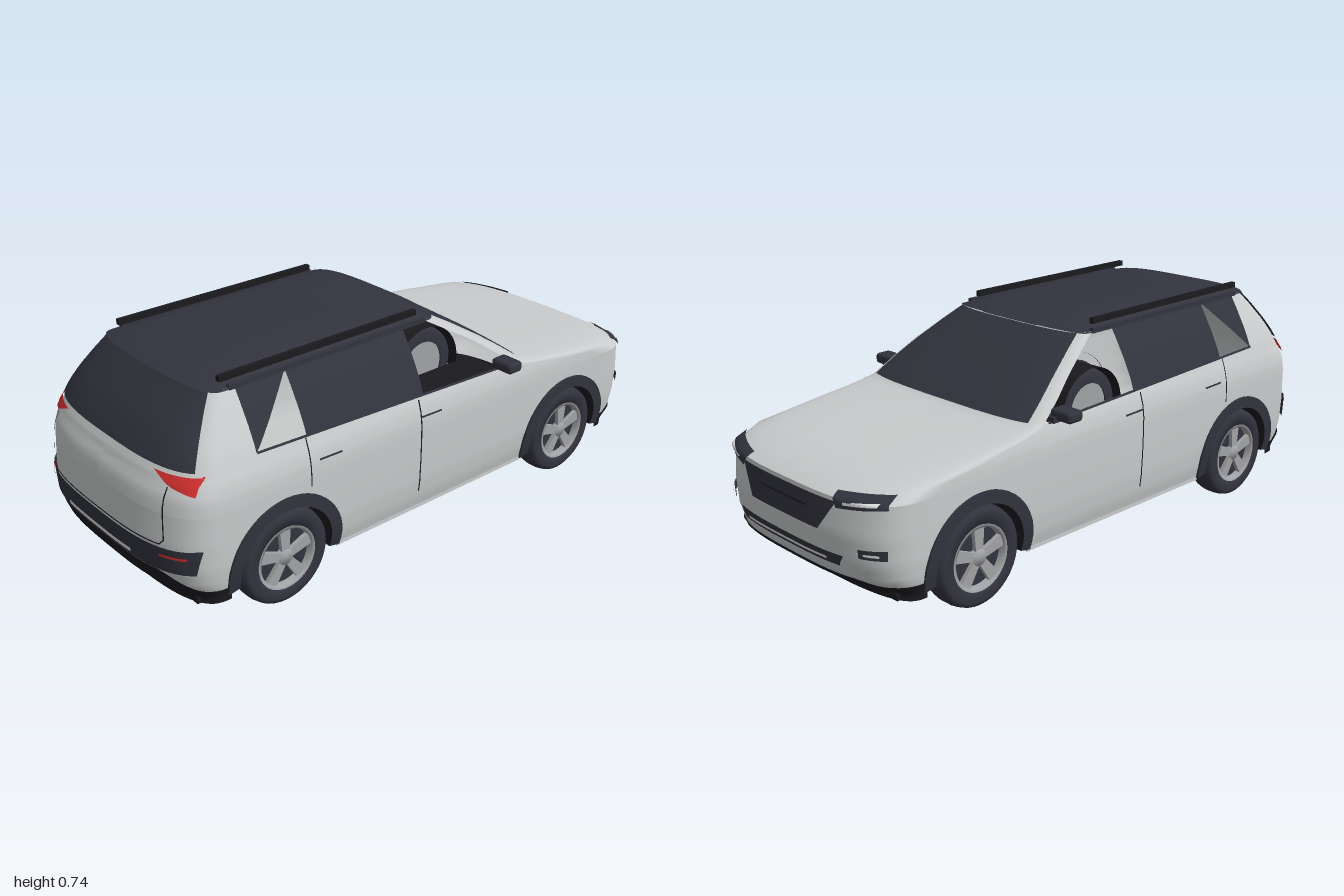
import * as THREE from 'three';
import { RoundedBoxGeometry } from 'three/addons/geometries/RoundedBoxGeometry.js';

const material = (name, color) => {
  const m = new THREE.MeshStandardMaterial({ color, side: THREE.DoubleSide });
  m.name = name;
  return m;
};

// Horizontal slices: y, half width, nose z, front side start, rear side end, tail z
const SLICES = [
  [0.12, 0.385, -0.90, -0.80, 0.80, 0.92], [0.16, 0.395, -0.975, -0.80, 0.80, 0.97],
  [0.22, 0.402, -0.995, -0.80, 0.80, 0.99], [0.30, 0.405, -1.0, -0.80, 0.80, 0.995],
  [0.40, 0.406, -0.985, -0.80, 0.80, 0.985], [0.43, 0.405, -0.92, -0.74, 0.80, 0.98],
  [0.445, 0.403, -0.82, -0.62, 0.80, 0.975], [0.46, 0.40, -0.70, -0.52, 0.80, 0.97],
  [0.475, 0.397, -0.55, -0.42, 0.79, 0.96], [0.49, 0.392, -0.43, -0.36, 0.79, 0.955],
  [0.50, 0.388, -0.41, -0.34, 0.78, 0.95], [0.55, 0.37, -0.34, -0.27, 0.77, 0.92],
  [0.60, 0.345, -0.265, -0.20, 0.75, 0.885], [0.66, 0.31, -0.17, -0.10, 0.73, 0.83],
  [0.70, 0.285, -0.10, -0.03, 0.71, 0.79],
];
const lerp = THREE.MathUtils.lerp;
function slice(y) {
  const last = SLICES.length - 1;
  if (y <= SLICES[0][0]) return SLICES[0].slice(1);
  if (y >= SLICES[last][0]) return SLICES[last].slice(1);
  const i = SLICES.findIndex((s) => s[0] > y);
  const a = SLICES[i - 1], b = SLICES[i], t = (y - a[0]) / (b[0] - a[0]);
  return a.map((v, k) => lerp(v, b[k], t)).slice(1);
}
const widthAt = (y) => slice(y)[0];

// Point on the rounded nose or tail; r runs from -1 to 1 across the width
function endPoint(rear, r, y, grow = 0) {
  const [w, zF, sF, sR, zR] = slice(y);
  const drop = 1 - Math.cbrt(Math.max(0, 1 - Math.abs(r) ** 3));
  const z = rear ? zR - (zR - sR) * drop + grow : zF + (sF - zF) * drop - grow;
  return [r * (w + grow), y, z];
}
const across = (a) => Math.sign(Math.sin(a)) * Math.abs(Math.sin(a)) ** (2 / 3);

const WHEEL_Z = [-0.61, 0.61], WHEEL_Y = 0.157, ARCH_R = 0.175;
function sillAt(z) {
  for (const c of WHEEL_Z) {
    const d = Math.abs(z - c);
    if (d <= ARCH_R + 1e-6) return WHEEL_Y + Math.sqrt(Math.max(0, ARCH_R ** 2 - d * d));
  }
  return 0.12;
}

export function createModel() {
  const car = new THREE.Group();
  car.name = 'car';
  const paint = material('silver paint', 0xc9cbcc);
  const dark = material('dark glass and trim', 0x32333d);
  const black = material('black plastic', 0x1b1b1f);
  const red = material('red lamp', 0xd2302f);
  const alloy = material('wheel alloy', 0xa2a3a6);
  const pale = material('pale trim', 0xdcdddd);

  const add = (name, geo, mat, parent = car) => {
    const m = new THREE.Mesh(geo, mat);
    m.name = name;
    parent.add(m);
    return m;
  };
  const box = (name, mat, w, h, d, x, y, z) =>
    add(name, new THREE.BoxGeometry(w, h, d), mat).position.set(x, y, z);

  // Surface through a grid of points fn(i, j)
  function grid(name, mat, nu, nv, fn, flip = false) {
    const pos = [], idx = [];
    for (let i = 0; i <= nu; i++) for (let j = 0; j <= nv; j++) pos.push(...fn(i, j));
    for (let i = 0; i < nu; i++) for (let j = 0; j < nv; j++) {
      const a = i * (nv + 1) + j, b = a + 1, c = a + nv + 1, d = c + 1;
      if (flip) idx.push(a, c, b, b, c, d);
      else idx.push(a, b, c, b, d, c);
    }
    const g = new THREE.BufferGeometry();
    g.setAttribute('position', new THREE.Float32BufferAttribute(pos, 3));
    g.setIndex(idx);
    g.computeVertexNormals();
    return add(name, g, mat);
  }
  const bilinear = (q, u, v) => [0, 1].map((k) =>
    lerp(lerp(q[0][k], q[1][k], u), lerp(q[3][k], q[2][k], u), v));

  // Thin plate on nose or tail; corners [x, y]: lower left, lower right, upper right, upper left
  function endPlate(name, mat, rear, q, mirror = false, off = 0.006) {
    for (const s of mirror ? [1, -1] : [1]) {
      grid(name, mat, 32, 6, (i, j) => {
        const [x, y] = bilinear(q, i / 32, j / 6);
        const p = endPoint(rear, THREE.MathUtils.clamp(x / widthAt(y), -1, 1), y, off);
        if (!rear && y > 0.4) p[1] += 0.003;
        return [p[0] * s, p[1], p[2]];
      }, rear === (s > 0));
    }
  }
  // Thin plate on both flanks; corners [z, y] from front to back
  function sidePlate(name, mat, q, off = 0.004) {
    for (const s of [1, -1]) grid(name, mat, 8, 8, (i, j) => {
      const [z, y] = bilinear(q, i / 8, j / 8);
      return [s * (widthAt(y) + off), y, z];
    }, s < 0);
  }

  // Body shell: a closed ring of stations with wheel arches cut into the lower edge
  const N = 14, half = [];
  for (let i = 0; i <= N; i++) half.push({ end: 0, a: (i / N) * Math.PI / 2 });
  const zs = [-0.3, -0.15, 0, 0.15, 0.3];
  for (const c of WHEEL_Z) {
    zs.push(c - ARCH_R - 0.001, c + ARCH_R + 0.001);
    for (let i = 0; i <= 20; i++) zs.push(c - ARCH_R * Math.cos((i / 20) * Math.PI));
  }
  zs.sort((a, b) => a - b).forEach((z) => half.push({ z }));
  for (let i = N; i >= 0; i--) half.push({ end: 1, a: (i / N) * Math.PI / 2 });
  const ring = [...half.map((h) => ({ ...h, s: 1 })), ...half.map((h) => ({ ...h, s: -1 })).reverse()];
  const shellPoint = (h, y) => {
    if (h.z === undefined) {
      const p = endPoint(h.end === 1, across(h.a), y);
      return [p[0] * h.s, p[1], p[2]];
    }
    const [w, , sF, sR] = slice(y);
    return [w * h.s, y, lerp(sF, sR, (h.z + 0.8) / 1.6)];
  };
  grid('lowerBody', paint, ring.length - 1, 14, (i, j) => {
    const h = ring[i];
    return shellPoint(h, lerp(h.z === undefined ? 0.12 : sillAt(h.z), 0.4, j / 14));
  });
  const beltRows = SLICES.map((s) => s[0]).filter((y) => y >= 0.4 && y <= 0.5);
  grid('hoodAndShoulders', paint, ring.length - 1, beltRows.length - 1,
    (i, j) => shellPoint(ring[i], beltRows[j]));

  // Windscreen with pillars, tail with rear pillars
  const angle = (i, n, max) => across(lerp(-max, max, i / n));
  const GLASS = 1.08;
  grid('frontPillars', paint, 32, 10, (i, j) => endPoint(false, angle(i, 32, Math.PI / 2), 0.5 + 0.02 * j));
  grid('windscreen', dark, 32, 10, (i, j) => endPoint(false, angle(i, 32, GLASS), 0.503 + 0.0197 * j, 0.005));
  grid('rearPillars', paint, 34, 10, (i, j) => {
    const y = 0.5 + 0.02 * j;
    if (i === 0 || i === 34) return [(i ? 1 : -1) * widthAt(y), y, 0.69];
    return endPoint(true, angle(i - 1, 32, Math.PI / 2), y);
  }, true);
  grid('rearWindow', dark, 32, 10, (i, j) => endPoint(true, angle(i, 32, GLASS), 0.522 + 0.018 * j, 0.006), true);

  // Roof and rails
  grid('roof', dark, 32, 24, (i, j) => {
    const r = angle(i, 32, Math.PI / 2), v = j / 24;
    const f = endPoint(false, r, 0.7, 0.006), b = endPoint(true, r, 0.7, 0.012);
    const rise = 0.006 + 0.03 * (1 - Math.abs(2 * v - 1) ** 4);
    return [f[0], 0.698 + rise * (1 - Math.abs(r) ** 6), lerp(f[2], b[2], v)];
  }, true);
  for (const s of [1, -1]) {
    box('roofRail', black, 0.016, 0.018, 0.74, s * 0.264, 0.727, 0.36);
    box('roofEdge', dark, 0.014, 0.016, 0.74, s * 0.283, 0.702, 0.34);
  }

  // Side glass: open front window and a half-open rear quarter
  sidePlate('beltWedge', paint, [[-0.33, 0.494], [0.69, 0.494], [0.69, 0.53], [-0.33, 0.498]], 0);
  sidePlate('rearDoorGlass', dark, [[0.06, 0.505], [0.515, 0.522], [0.515, 0.7], [0.06, 0.7]], 0);
  sidePlate('quarterGlass', dark, [[0.69, 0.527], [0.69, 0.527], [0.69, 0.7], [0.515, 0.7]], 0);
  sidePlate('windowSill', dark, [[-0.33, 0.494], [0.69, 0.526], [0.69, 0.533], [-0.33, 0.501]]);
  // Door seams and handles
  sidePlate('doorSeam', black, [[0.083, 0.18], [0.088, 0.18], [0.088, 0.5], [0.083, 0.5]]);
  sidePlate('doorSeam', black, [[0.52, 0.37], [0.524, 0.37], [0.524, 0.52], [0.52, 0.52]]);
  for (const z of [0, 0.405])
    sidePlate('doorHandle', dark, [[z, 0.442], [z + 0.085, 0.444], [z + 0.085, 0.45], [z, 0.448]], 0.006);

  // Tail: bumper band, lamps, trim and tailgate seam
  endPlate('rearBumper', dark, true, [[-0.377, 0.22], [0.377, 0.22], [0.392, 0.3], [-0.392, 0.3]]);
  endPlate('rearTrimStrip', pale, true, [[-0.17, 0.234], [0.17, 0.234], [0.17, 0.247], [-0.17, 0.247]], false, 0.01);
  endPlate('rearReflector', red, true, [[0.288, 0.272], [0.363, 0.272], [0.365, 0.281], [0.288, 0.281]], true, 0.01);
  endPlate('tailLamp', red, true, [[0.305, 0.482], [0.374, 0.465], [0.368, 0.512], [0.235, 0.511]], true);
  endPlate('tailLampEdge', red, true, [[0.368, 0.468], [0.372, 0.468], [0.37, 0.515], [0.366, 0.515]], true);
  endPlate('tailgateSeam', black, true, [[0.303, 0.325], [0.307, 0.325], [0.3, 0.48], [0.296, 0.48]], true);
  endPlate('tailgateSeam', black, true, [[-0.29, 0.307], [0.29, 0.307], [0.29, 0.311], [-0.29, 0.311]]);
  endPlate('tailgateCorner', black, true, [[0.286, 0.307], [0.291, 0.307], [0.307, 0.325], [0.302, 0.325]], true);

  // Nose: grille, headlamps, intake and fog lamps
  endPlate('grille', dark, false, [[-0.16, 0.3], [0.16, 0.3], [0.225, 0.392], [-0.225, 0.392]]);
  endPlate('grilleBar', black, false, [[-0.11, 0.352], [0.11, 0.352], [0.11, 0.357], [-0.11, 0.357]], false, 0.009);
  endPlate('headlamp', dark, false, [[0.225, 0.375], [0.375, 0.392], [0.365, 0.422], [0.205, 0.412]], true);
  endPlate('headlampLens', pale, false, [[0.25, 0.39], [0.35, 0.4], [0.35, 0.406], [0.25, 0.398]], true, 0.01);
  endPlate('lowerIntake', dark, false, [[-0.23, 0.205], [0.23, 0.205], [0.25, 0.24], [-0.25, 0.24]]);
  endPlate('intakeStrip', pale, false, [[-0.19, 0.218], [0.19, 0.218], [0.19, 0.226], [-0.19, 0.226]], false, 0.01);
  endPlate('fogLamp', dark, false, [[0.3, 0.245], [0.37, 0.245], [0.372, 0.275], [0.3, 0.272]], true);
  endPlate('fogLampLens', pale, false, [[0.315, 0.256], [0.355, 0.256], [0.355, 0.264], [0.315, 0.263]], true, 0.01);

  // Black bumper skirts, floor and sills
  for (const rear of [true, false]) grid(rear ? 'rearSkirt' : 'frontSkirt', black, 32, 6, (i, j) => {
    const r = angle(i, 32, Math.PI / 2);
    const top = (rear ? 0.217 : 0.172) - (rear ? 0.07 : 0.02) * Math.max(0, Math.abs(r) - 0.7) / 0.3;
    return endPoint(rear, r, lerp(0.1, top, j / 6), 0.005);
  }, rear);
  box('floor', black, 0.6, 0.03, 1.72, 0, 0.115, 0);
  box('floorMiddle', black, 0.68, 0.03, 0.8, 0, 0.115, 0);
  box('floorFront', black, 0.7, 0.02, 0.09, 0, 0.11, -0.835);
  box('floorRear', black, 0.7, 0.02, 0.1, 0, 0.11, 0.845);
  box('cabinFloor', paint, 0.7, 0.006, 0.8, 0, 0.134, 0);
  for (const s of [1, -1]) box('sill', paint, 0.05, 0.016, 0.82, s * 0.36, 0.115, 0);

  for (const s of [1, -1]) {
    // Door mirrors
    add('mirror', new RoundedBoxGeometry(0.085, 0.036, 0.06, 3, 0.012), dark).position.set(s * 0.418, 0.519, -0.28);
    box('mirrorArm', dark, 0.05, 0.018, 0.04, s * 0.38, 0.505, -0.3);

    for (const zc of WHEEL_Z) {
      // Arch flare, its lip and the well liner
      const arch = (name, mat, rows) => grid(name, mat, 28, rows.length - 1, (i, j) => {
        const t = lerp(-0.2, Math.PI + 0.2, i / 28), [r, off, inner] = rows[j];
        const y = WHEEL_Y + r * Math.sin(t);
        return [s * (inner ?? widthAt(y) + off), y, zc + r * Math.cos(t)];
      }, s < 0);
      arch('archFlare', dark, [[0.168, 0.007], [0.208, 0.007]]);
      arch('archLip', dark, [[0.208, 0.007], [0.208, -0.004]]);
      arch('wheelWell', black, [[0.168, 0.007], [0.168, 0, 0.29]]);

      // Wheel: tyre, rim, five spokes and hub
      const wheel = new THREE.Group();
      wheel.name = 'wheel';
      wheel.position.set(s * 0.355, WHEEL_Y, zc);
      wheel.rotation.y = s > 0 ? 0 : Math.PI;
      car.add(wheel);
      const turned = (name, mat, pts) => add(name, new THREE.LatheGeometry(
        pts.map(([r, x]) => new THREE.Vector2(r, x)), 40).rotateZ(-Math.PI / 2), mat, wheel);
      turned('tyre', dark, [[0.1, -0.045], [0.138, -0.046], [0.152, -0.036], [0.157, -0.015],
        [0.157, 0.015], [0.152, 0.036], [0.138, 0.046], [0.105, 0.044], [0.1, 0.025]]);
      turned('rimRing', alloy, [[0.104, 0.044], [0.094, 0.042], [0.092, 0.02]]);
      turned('rimBack', alloy, [[0.001, -0.035], [0.103, -0.035]]);
      turned('rimDish', dark, [[0.104, 0.02], [0.001, 0.02]]);
      turned('hub', alloy, [[0.026, 0.02], [0.026, 0.038], [0.001, 0.04]]);
      for (let k = 0; k < 5; k++) {
        const spoke = new THREE.BoxGeometry(0.014, 0.08, 0.04);
        const p = spoke.attributes.position;
        for (let i = 0; i < p.count; i++) if (p.getY(i) < 0) p.setZ(i, p.getZ(i) * 0.65);
        spoke.translate(0.031, 0.057, 0).rotateX((k / 5) * Math.PI * 2);
        add('spoke', spoke, alloy, wheel);
      }
    }
  }
  return car;
}
